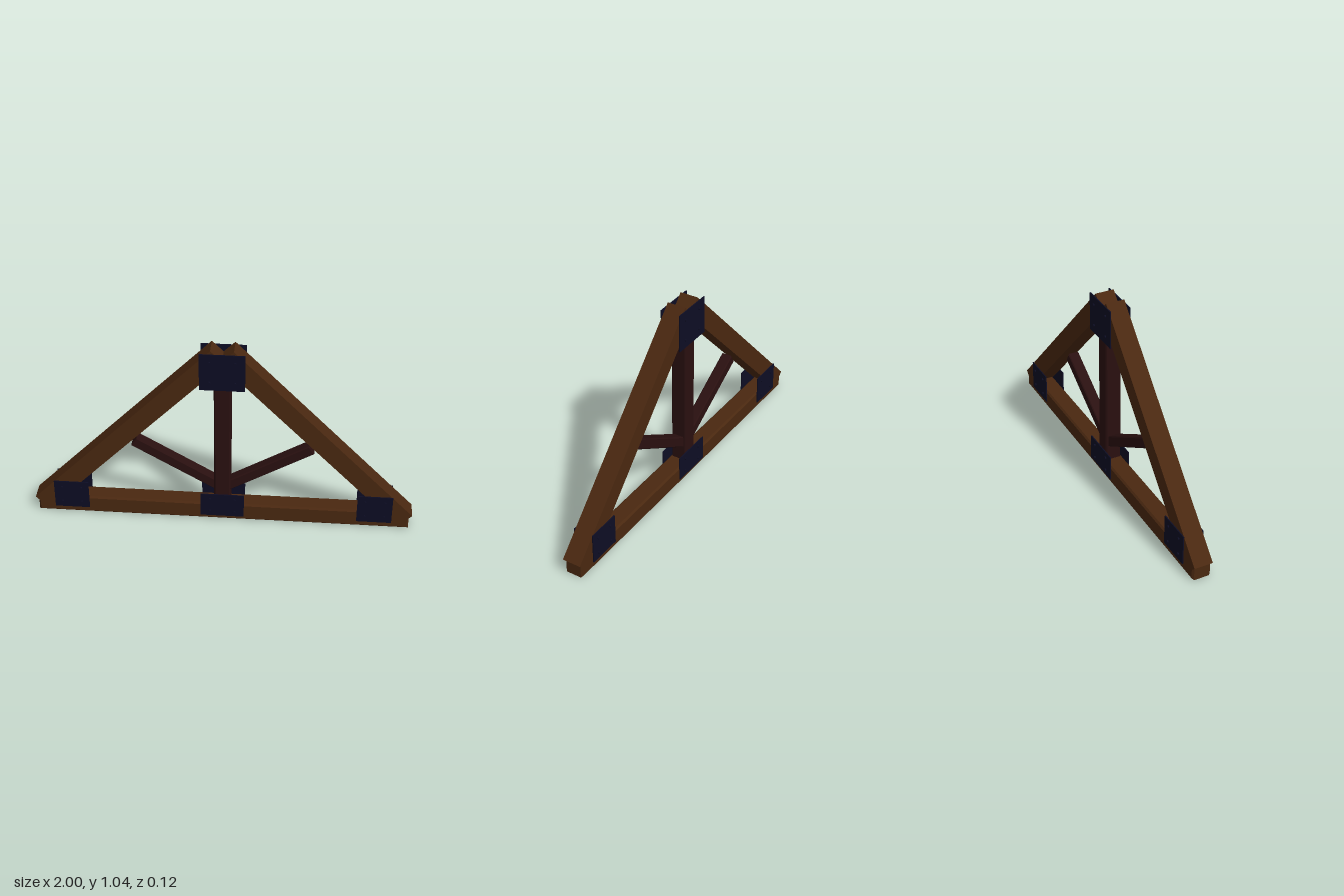
import * as THREE from 'three';

const paint = (name, color) => {
  const m = new THREE.MeshStandardMaterial({ color });
  m.name = name;
  return m;
};

// Timber with chamfered front and back edges, length along x
function chamferedBeam(length, height, depth, c) {
  const x = length / 2 - c, y = height / 2 - c;
  const shape = new THREE.Shape([
    new THREE.Vector2(-x, -y), new THREE.Vector2(x, -y),
    new THREE.Vector2(x, y), new THREE.Vector2(-x, y),
  ]);
  const geo = new THREE.ExtrudeGeometry(shape, {
    depth: depth - 2 * c, bevelEnabled: true, bevelSegments: 1, bevelSize: c, bevelThickness: c,
  });
  return geo.translate(0, 0, c - depth / 2);
}

export function createModel() {
  const model = new THREE.Group();
  model.name = 'roofTruss';
  const oak = paint('oak brown', 0x4a2810);
  const darkWood = paint('dark red wood', 0x2a1010);
  const iron = paint('dark iron', 0x0d0d24);

  // Place a timber between two points of its centre line
  function timber(name, a, b, height, depth, chamfer, material) {
    const dx = b[0] - a[0], dy = b[1] - a[1], length = Math.hypot(dx, dy);
    const geo = chamfer
      ? chamferedBeam(length, height, depth, chamfer)
      : new THREE.BoxGeometry(length, height, depth);
    const mesh = new THREE.Mesh(geo, material);
    mesh.name = name;
    mesh.position.set((a[0] + b[0]) / 2, (a[1] + b[1]) / 2, 0);
    mesh.rotation.z = Math.atan2(dy, dx);
    model.add(mesh);
  }

  timber('bottomChord', [-0.985, 0.05], [0.985, 0.05], 0.1, 0.1, 0.009, oak);
  timber('kingPost', [0, 0.09], [0, 0.95], 0.086, 0.086, 0.007, darkWood);
  for (const [side, s] of [['left', 1], ['right', -1]]) {
    timber(side + 'Rafter', [s * 0.965, 0.049], [s * 0.023, 1.009], 0.1, 0.1, 0, oak);
    timber(side + 'Strut', [s * 0.46, 0.462], [0, 0.19], 0.056, 0.06, 0.005, darkWood);
  }

  // Gusset plates with four bolts, on the front and back
  const bolt = new THREE.CylinderGeometry(0.007, 0.007, 0.012, 8).rotateX(Math.PI / 2);
  const plates = [
    ['apexPlate', 0, 0.922, 0.23, 0.206],
    ['centrePlate', 0, 0.094, 0.23, 0.138],
    ['leftHeelPlate', 0.802, 0.117, 0.184, 0.164],
    ['rightHeelPlate', -0.802, 0.117, 0.184, 0.164],
  ];
  for (const [name, x, y, w, h] of plates) {
    for (const z of [1, -1]) {
      const group = new THREE.Group();
      group.name = name + (z > 0 ? 'Front' : 'Back');
      group.position.set(x, y, z * 0.0525);
      const plate = new THREE.Mesh(new THREE.BoxGeometry(w, h, 0.006), iron);
      plate.name = 'plate';
      group.add(plate);
      for (const i of [-1, 1]) for (const j of [-1, 1]) {
        const b = new THREE.Mesh(bolt, iron);
        b.name = 'bolt';
        b.position.set(i * w * 0.28, j * h * 0.28, z * 0.004);
        group.add(b);
      }
      model.add(group);
    }
  }
  return model;
}
